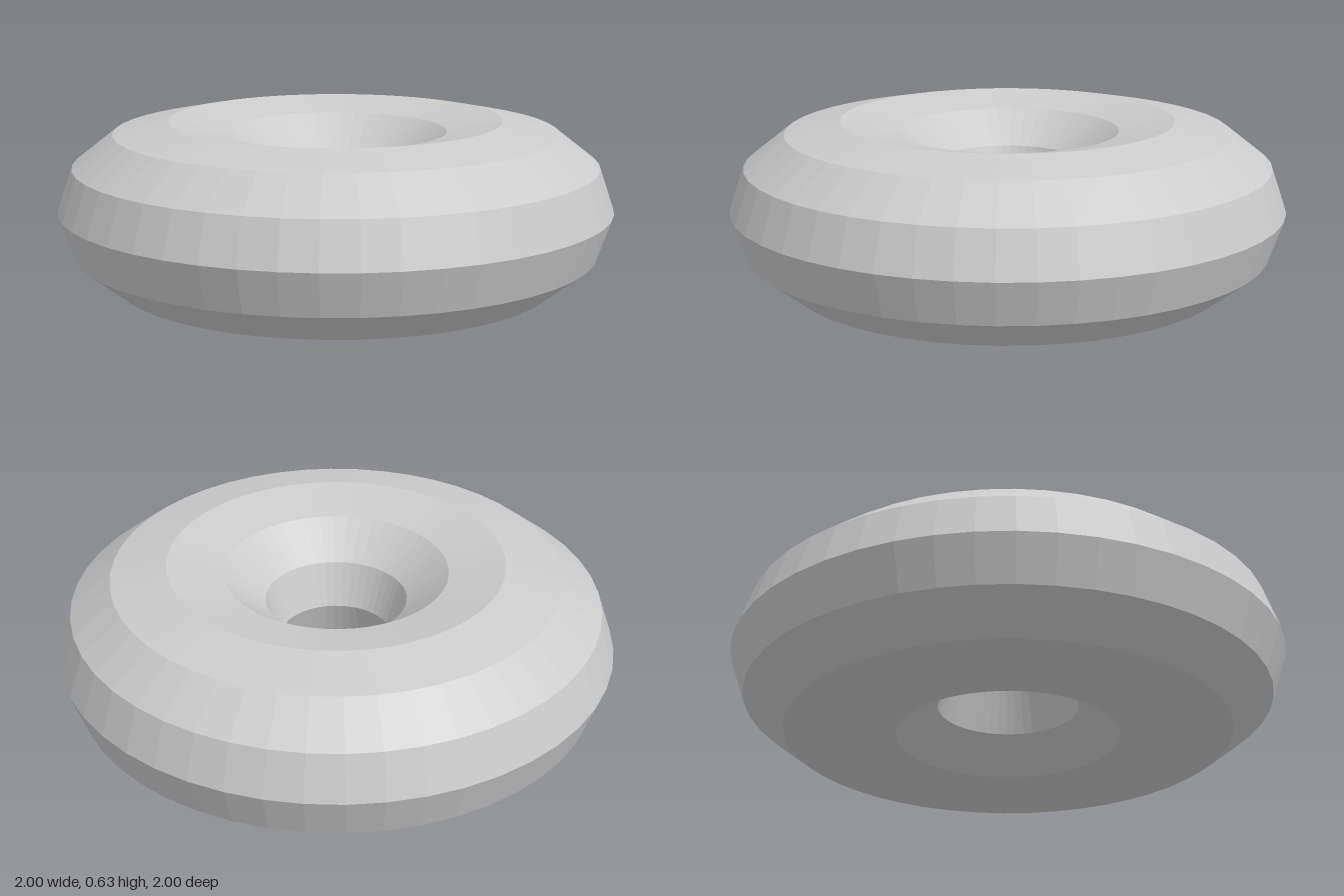
import * as THREE from 'three';

export function createModel() {
  const group = new THREE.Group();
  const halfHeight = 0.314;
  const tube = 0.4;

  // Faceted ring lying flat, its round section squashed vertically
  const geometry = new THREE.TorusGeometry(0.6, tube, 12, 48);
  geometry.rotateX(-Math.PI / 2);
  geometry.scale(1, halfHeight / tube, 1);
  geometry.translate(0, halfHeight, 0);

  const ring = new THREE.Mesh(
    geometry,
    new THREE.MeshStandardMaterial({ color: 0xcccccc, flatShading: true })
  );
  ring.name = 'ring';
  group.add(ring);
  return group;
}
